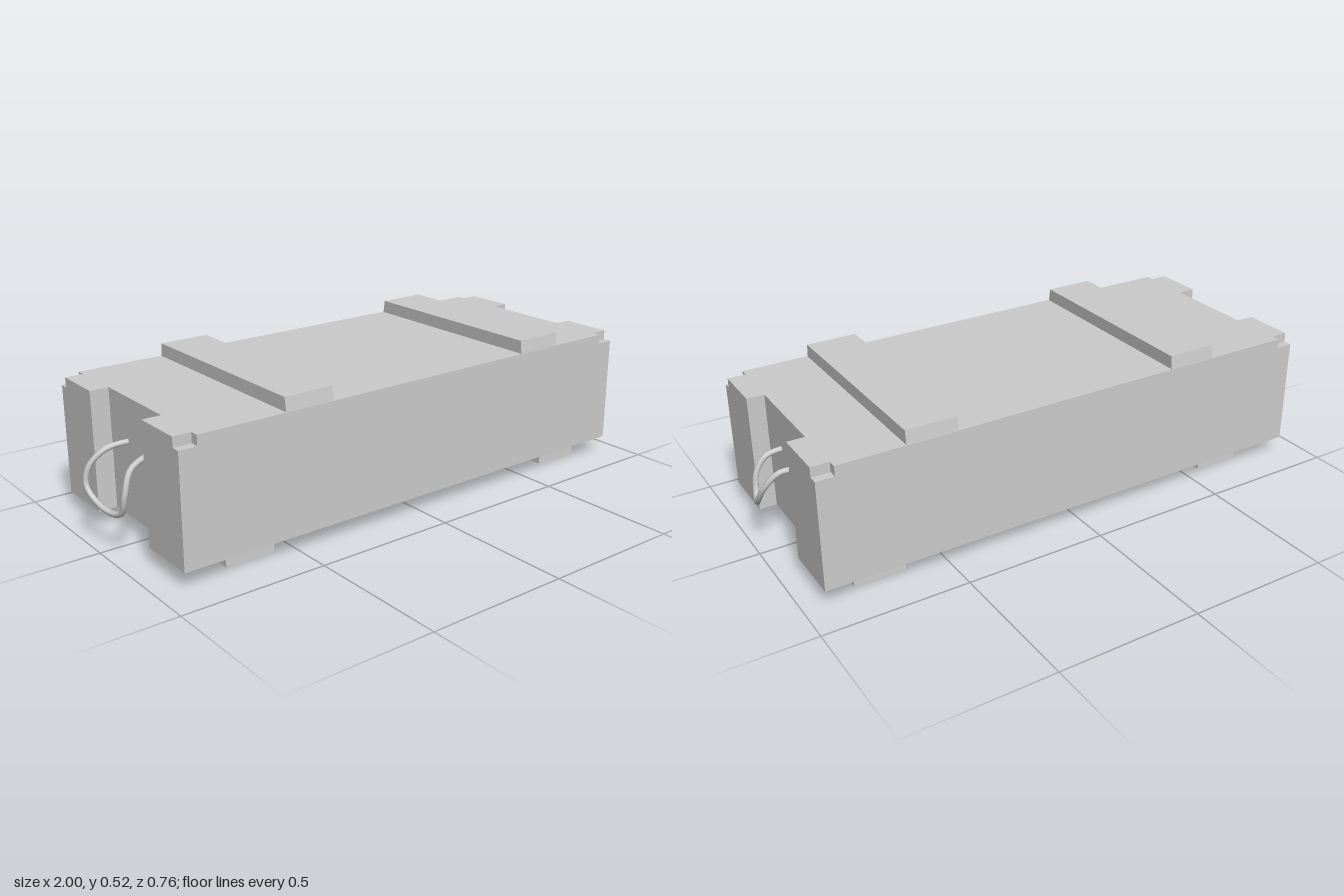
import * as THREE from 'three';

const material = new THREE.MeshStandardMaterial({ color: 0xcccccc, side: THREE.DoubleSide });

function addMesh(parent, name, geometry) {
  const mesh = new THREE.Mesh(geometry, material);
  mesh.name = name;
  parent.add(mesh);
  return mesh;
}

// Plan outline extruded upwards from y0 to y1
function slab(points, y0, y1) {
  const shape = new THREE.Shape(points.map(([x, z]) => new THREE.Vector2(x, -z)));
  const geometry = new THREE.ExtrudeGeometry(shape, { depth: y1 - y0, bevelEnabled: false });
  return geometry.rotateX(-Math.PI / 2).translate(0, y0, 0);
}

// Crate plan: a recess in each end, plus optional corner notches
function crateOutline(notchX, notchZ) {
  const w = 0.38, r = 0.17;
  const half = (end, inner, s) => {
    const nx = end - s * notchX;
    const corner = (z) => notchX
      ? [[nx, z], [nx, z - Math.sign(z) * notchZ], [end, z - Math.sign(z) * notchZ]]
      : [[end, z]];
    return [...corner(w), [end, r], [inner, r], [inner, -r], [end, -r], ...corner(-w).reverse()];
  };
  return [...half(0.93, 0.87, 1), ...half(-0.915, -0.85, -1).reverse()];
}

// Plank across the crate, with its far face narrowed in z
function batten(x0, x1, y0, y1, depthBottom, depthTop) {
  const geometry = new THREE.BoxGeometry(x1 - x0, y1 - y0, 1);
  const p = geometry.attributes.position;
  for (let i = 0; i < p.count; i++) {
    p.setZ(i, p.getZ(i) * (p.getY(i) > 0 ? depthTop : depthBottom));
  }
  geometry.translate((x0 + x1) / 2, (y0 + y1) / 2, 0);
  geometry.computeVertexNormals();
  return geometry;
}

// Rope loop hanging out of an end recess
function rope(points) {
  const curve = new THREE.CatmullRomCurve3(points.map((p) => new THREE.Vector3(...p)));
  return new THREE.TubeGeometry(curve, 40, 0.01, 8);
}

export function createModel() {
  const model = new THREE.Group();
  model.name = 'crate';

  // Body, and top layer with notched corners
  addMesh(model, 'crateBody', slab(crateOutline(0, 0), 0.057, 0.438));
  addMesh(model, 'lid', slab(crateOutline(0.062, 0.03), 0.438, 0.472));

  // Battens on the lid and feet below
  for (const [x0, x1] of [[-0.545, -0.367], [0.456, 0.635]]) {
    addMesh(model, 'lidBatten', batten(x0, x1, 0.47, 0.518, 0.755, 0.742));
  }
  for (const [x0, x1] of [[-0.742, -0.565], [0.635, 0.815]]) {
    addMesh(model, 'footBatten', batten(x0, x1, 0, 0.059, 0.655, 0.65));
  }

  // Rope handles, each hanging a little differently
  addMesh(model, 'leftHandle', rope([
    [0.86, 0.315, -0.075], [0.93, 0.318, -0.074], [0.978, 0.265, -0.052],
    [0.988, 0.205, -0.012], [0.98, 0.185, 0.02], [0.972, 0.21, 0.047],
    [0.96, 0.265, 0.059], [0.925, 0.312, 0.061], [0.86, 0.325, 0.06]]));
  addMesh(model, 'rightHandle', rope([
    [-0.84, 0.32, -0.06], [-0.92, 0.31, -0.07], [-0.975, 0.26, -0.086],
    [-0.99, 0.2, -0.085], [-0.98, 0.155, -0.04], [-0.966, 0.137, 0.03],
    [-0.957, 0.155, 0.085], [-0.955, 0.215, 0.107], [-0.925, 0.29, 0.095],
    [-0.84, 0.32, 0.07]]));

  return model;
}
